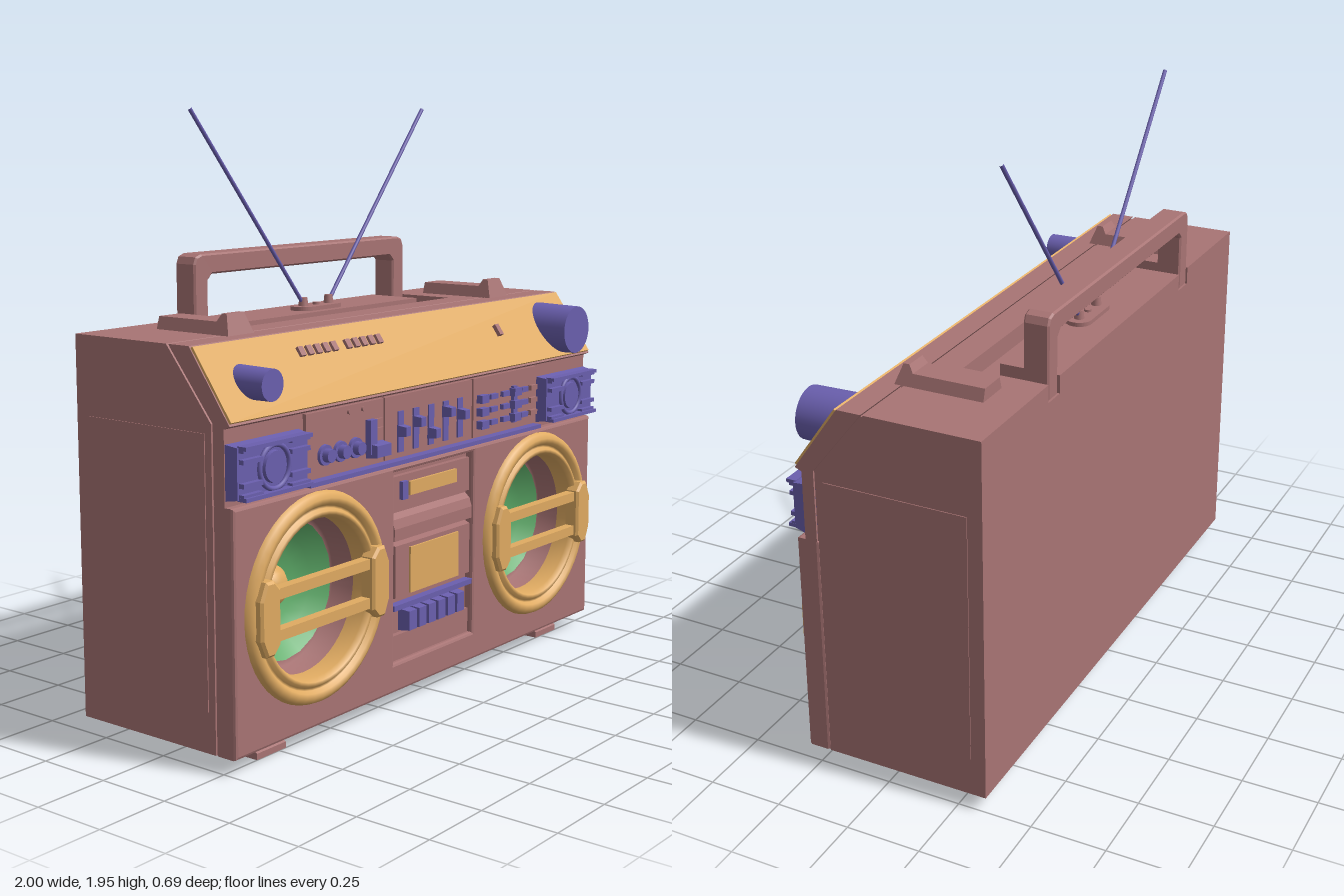
import * as THREE from 'three';

const mat = (color, side = THREE.FrontSide) => new THREE.MeshStandardMaterial({ color, side });
const MAUVE = mat(0xa87474), TAN = mat(0xe0ab62), PURPLE = mat(0x6a5fae);
const MAUVE2 = mat(0xa87474, THREE.DoubleSide), TAN2 = mat(0xe0ab62, THREE.DoubleSide), GREEN2 = mat(0x5fae6a, THREE.DoubleSide);

const poly = pts => new THREE.Shape(pts.map(p => new THREE.Vector2(p[0], p[1])));
const rect = (x0, y0, x1, y1) => poly([[x0, y0], [x1, y0], [x1, y1], [x0, y1]]);

function add(parent, name, geo, material) {
  const m = new THREE.Mesh(geo, material);
  m.name = name;
  parent.add(m);
  return m;
}
// box from centre, size and z range
function box(parent, name, x, y, w, h, z0, z1, material) {
  return add(parent, name, new THREE.BoxGeometry(w, h, z1 - z0).translate(x, y, (z0 + z1) / 2), material);
}
// box whose front face is smaller than its back
function taperBox(parent, name, x, y, w, h, z0, z1, inset, material) {
  const shape = rect(x - w / 2, y - h / 2, x + w / 2, y + h / 2);
  const g = new THREE.ExtrudeGeometry(shape, {
    depth: 0.001, bevelThickness: z1 - z0, bevelSize: inset, bevelOffset: -inset, bevelSegments: 1 });
  return add(parent, name, g.translate(0, 0, z0), material);
}
// cylinder pointing forward
function knob(parent, name, x, y, r, z0, z1, material, sides = 32) {
  const g = new THREE.CylinderGeometry(r * 0.95, r, z1 - z0, sides).rotateX(Math.PI / 2);
  return add(parent, name, g.translate(x, y, (z0 + z1) / 2), material);
}
// side profile of [z, y] points swept across x
function sweepX(parent, name, pts, w, x, material) {
  const g = new THREE.ExtrudeGeometry(poly(pts), { depth: w, bevelEnabled: false });
  return add(parent, name, g.rotateY(-Math.PI / 2).translate(x + w / 2, 0, 0), material);
}
// profile of [radius, z] points turned around a forward axis
function turn(parent, name, pts, material, seg = 48) {
  const g = new THREE.LatheGeometry(pts.map(p => new THREE.Vector2(p[0], p[1])), seg);
  return add(parent, name, g.rotateX(Math.PI / 2), material);
}

const SX = 0.62, SY = 0.465;

function buildCase(g) {
  const W = 1.994;
  sweepX(g, 'rearShell', [[-0.344, 0.05], [0.06, 0.05], [0.06, 0.81], [0.216, 0.81], [0.216, 1.05],
    [0.041, 1.27], [0.03, 1.27], [0.03, 1.21], [-0.344, 1.21]], W, 0, MAUVE);
  sweepX(g, 'seamFiller', [[0.2, 0.81], [0.23, 0.81], [0.23, 1.05], [0.055, 1.262], [0.03, 1.262], [0.2, 1.04]], 1.98, 0, MAUVE);
  sweepX(g, 'upperFront', [[0.224, 0.81], [0.265, 0.81], [0.265, 1.04], [0.288, 1.05], [0.132, 1.27],
    [0.05, 1.27], [0.224, 1.05]], W, 0, MAUVE);

  // top with a U-shaped channel for the folding handle
  const top = poly([[-0.997, 0.344], [-0.565, 0.344], [-0.565, 0.055], [0.565, 0.055], [0.565, 0.344],
    [0.997, 0.344], [0.997, -0.03], [-0.997, -0.03]]);
  add(g, 'topDeck', new THREE.ExtrudeGeometry(top, { depth: 0.06, bevelEnabled: false })
    .rotateX(-Math.PI / 2).translate(0, 1.21, 0), MAUVE);
  box(g, 'topIsland', 0, 1.24, 0.97, 0.06, -0.344, -0.14, MAUVE);

  // lower front with speaker and cassette openings
  const face = () => {
    const s = rect(-0.997, 0.05, 0.997, 0.81);
    for (const x of [-SX, SX]) s.holes.push(new THREE.Path().absarc(x, SY, 0.265, 0, Math.PI * 2, true));
    s.holes.push(new THREE.Path(rect(-0.225, 0.15, 0.225, 0.79).getPoints().reverse()));
    return s;
  };
  const opt = { bevelEnabled: false, curveSegments: 32 };
  add(g, 'lowerCase', new THREE.ExtrudeGeometry(face(), { ...opt, depth: 0.157 }).translate(0, 0, 0.06), MAUVE);
  add(g, 'lowerFront', new THREE.ExtrudeGeometry(face(), { curveSegments: 32, depth: 0.06,
    bevelThickness: 0.01, bevelSize: 0.01, bevelOffset: -0.01, bevelSegments: 2 }).translate(0, 0, 0.227), MAUVE);

  for (const s of [-1, 1]) {
    add(g, 'sidePanel', new THREE.BoxGeometry(0.006, 0.84, 0.485).translate(s * 0.997, 0.6, -0.052), MAUVE);
    sweepX(g, 'foot', [[0.25, 0], [0.25, 0.02], [0.2, 0.05], [-0.185, 0.05], [-0.235, 0.02], [-0.235, 0]], 0.134, s * 0.785, MAUVE);
    // strap lug, narrowing towards the top
    const lug = sweepX(g, 'strapLug', [[0.075, 1.265], [0.05, 1.335], [0.03, 1.335], [0.015, 1.31], [-0.228, 1.31], [-0.228, 1.265]], 0.12, 0, MAUVE);
    const p = lug.geometry.attributes.position;
    for (let i = 0; i < p.count; i++) p.setX(i, p.getX(i) * (1 - (p.getY(i) - 1.265) * 5) + s * 0.705);
    lug.geometry.computeVertexNormals();
  }
}

function buildHandle(g) {
  const s = poly([[-0.56, 1.21], [-0.495, 1.21], [-0.495, 1.4], [-0.475, 1.42], [0.475, 1.42], [0.495, 1.4], [0.495, 1.21],
    [0.56, 1.21], [0.56, 1.455], [0.55, 1.478], [0.525, 1.487], [-0.525, 1.487], [-0.55, 1.478], [-0.56, 1.455]]);
  add(g, 'handle', new THREE.ExtrudeGeometry(s, { depth: 0.074, bevelThickness: 0.006, bevelSize: 0.006,
    bevelOffset: -0.006, bevelSegments: 1 }).translate(0, 0, -0.336), MAUVE);
}

function buildAntennas(g) {
  const pill = new THREE.Shape().absarc(0.068, 0, 0.044, -Math.PI / 2, Math.PI / 2)
    .absarc(-0.068, 0, 0.044, Math.PI / 2, Math.PI * 1.5);
  add(g, 'antennaBase', new THREE.ExtrudeGeometry(pill, { depth: 0.014, bevelEnabled: false })
    .rotateX(-Math.PI / 2).translate(0, 1.27, -0.215), MAUVE);
  add(g, 'baseScrew', new THREE.CylinderGeometry(0.012, 0.012, 0.012, 16).translate(0, 1.286, -0.215), MAUVE);
  for (const s of [-1, 1]) {
    add(g, 'antennaPivot', new THREE.CylinderGeometry(0.014, 0.018, 0.035, 16).translate(s * 0.068, 1.295, -0.215), MAUVE);
    const path = new THREE.LineCurve3(new THREE.Vector3(s * 0.068, 1.29, -0.215), new THREE.Vector3(s * 0.615, 1.95, -0.215));
    add(g, 'antenna', new THREE.TubeGeometry(path, 1, 0.007, 10), PURPLE);
  }
}

function buildSpeaker(x) {
  const g = new THREE.Group();
  g.name = 'speaker';
  turn(g, 'speakerRing', [[0.25, 0.24], [0.25, 0.3], [0.26, 0.318], [0.272, 0.318], [0.28, 0.306], [0.288, 0.306],
    [0.296, 0.32], [0.312, 0.322], [0.328, 0.312], [0.335, 0.295]], TAN2);
  turn(g, 'speakerCup', [[0.258, 0.29], [0.245, 0.16], [0.215, 0.16]], MAUVE2);
  turn(g, 'speakerCone', [[0.225, 0.168], [0.17, 0.125], [0.12, 0.1], [0.07, 0.09]], GREEN2, 20);
  turn(g, 'dustCap', [[0.076, 0.09], [0.07, 0.115], [0.05, 0.138], [0.025, 0.149], [0, 0.152]], TAN2, 32);
  for (const s of [-1, 1]) {
    box(g, 'guardBar', 0, s * 0.064, 0.5, 0.034, 0.295, 0.33, TAN);
    const block = poly([[0.222, -0.085], [0.25, -0.115], [0.285, -0.115], [0.31, -0.06], [0.31, 0.06], [0.285, 0.115], [0.25, 0.115], [0.222, 0.085]]
      .map(p => [p[0] * s, p[1]]));
    add(g, 'guardBlock', new THREE.ExtrudeGeometry(block, { depth: 0.04, bevelThickness: 0.008, bevelSize: 0.008,
      bevelOffset: -0.008, bevelSegments: 1 }).translate(0, 0, 0.298), TAN);
  }
  g.position.set(x, SY, 0);
  return g;
}

function buildCassette(g) {
  box(g, 'deckFloor', 0, 0.47, 0.45, 0.64, 0.2, 0.265, MAUVE);
  box(g, 'displayPlate', 0, 0.715, 0.43, 0.115, 0.26, 0.285, MAUVE);
  box(g, 'displayWindow', -0.003, 0.724, 0.265, 0.046, 0.28, 0.294, TAN);
  box(g, 'displayButton', -0.168, 0.724, 0.03, 0.06, 0.28, 0.3, PURPLE);
  sweepX(g, 'doorLip', [[0.26, 0.56], [0.294, 0.56], [0.294, 0.6], [0.285, 0.63], [0.26, 0.65]], 0.44, 0, MAUVE);
  taperBox(g, 'cassetteDoor', 0, 0.455, 0.44, 0.19, 0.26, 0.29, 0.008, MAUVE);
  box(g, 'cassetteWindow', 0, 0.45, 0.275, 0.155, 0.28, 0.298, TAN);
  box(g, 'keyRail', 0, 0.335, 0.445, 0.018, 0.26, 0.296, PURPLE);
  for (let i = 0; i < 6; i++) taperBox(g, 'tapeKey', -0.1375 + i * 0.055, 0.282, 0.051, 0.075, 0.26, 0.308, 0.005, PURPLE);
  box(g, 'lowerPlate', 0, 0.196, 0.43, 0.085, 0.26, 0.284, MAUVE);
}

function buildTuner(g) {
  // sloping dial panel
  const dial = new THREE.Group();
  dial.name = 'dialPanel';
  dial.position.set(0, 1.16, 0.21);
  dial.rotation.x = -Math.atan2(0.156, 0.22);
  const flat = y => (y - 1.16) / Math.cos(dial.rotation.x);
  box(dial, 'dialFace', 0, 0, 1.985, 0.255, -0.01, 0.008, TAN);
  for (let i = 0; i < 5; i++) for (const x of [-0.56, -0.33])
    box(dial, 'indicator', x + i * 0.04, flat(1.205), 0.024, 0.032, 0, 0.018, MAUVE);
  box(dial, 'indicator', 0.49, flat(1.17), 0.022, 0.042, 0, 0.022, MAUVE);
  g.add(dial);
  knob(g, 'tuningKnob', 0.835, 1.155, 0.09, 0.13, 0.33, PURPLE, 40);
  knob(g, 'volumeKnob', -0.845, 1.155, 0.051, 0.15, 0.32, PURPLE);
}

function buildControls(g) {
  box(g, 'controlRail', 0, 0.82, 1.3, 0.014, 0.26, 0.3, PURPLE);
  for (const [x, w] of [[-0.453, 0.385], [-0.007, 0.49], [0.448, 0.4]]) box(g, 'controlPanel', x, 0.935, w, 0.205, 0.26, 0.278, MAUVE);

  // left panel: rotary knobs, selector and lamps
  for (const x of [-0.56, -0.485, -0.41]) {
    knob(g, 'toneDial', x, 0.9, 0.034, 0.27, 0.288, PURPLE, 24);
    knob(g, 'toneKnob', x, 0.9, 0.022, 0.28, 0.31, PURPLE, 24);
  }
  box(g, 'selectorSlot', -0.337, 0.925, 0.035, 0.11, 0.27, 0.3, PURPLE);
  taperBox(g, 'selectorLever', -0.31, 0.88, 0.085, 0.05, 0.27, 0.32, 0.006, PURPLE);
  for (const x of [-0.44, -0.37]) knob(g, 'lamp', x, 1.018, 0.008, 0.27, 0.286, MAUVE, 12);
  for (const y of [0.97, 0.94]) box(g, 'selectorMark', -0.29, y, 0.04, 0.014, 0.27, 0.286, MAUVE);

  // middle panel: sliders
  [0.92, 0.94, 0.89, 0.95, 0.93].forEach((y, i) => {
    const x = -0.172 + i * 0.084;
    box(g, 'sliderSlot', x, 0.917, 0.03, 0.135, 0.27, 0.283, PURPLE);
    taperBox(g, 'sliderKnob', x, y, 0.036, 0.04, 0.27, 0.312, 0.005, PURPLE);
  });

  // right panel: switches in three rows
  for (const y of [0.965, 0.92, 0.875]) {
    for (const x of [0.29, 0.495]) box(g, 'switch', x, y, 0.044, 0.028, 0.27, 0.302, PURPLE);
    for (const x of [0.36, 0.435, 0.555, 0.615]) box(g, 'pushButton', x, y, 0.042, 0.018, 0.27, 0.292, x > 0.6 ? MAUVE : PURPLE);
  }
  box(g, 'switchSlot', 0.495, 0.92, 0.024, 0.13, 0.27, 0.29, PURPLE);
}

function buildTweeter(s) {
  const g = new THREE.Group();
  g.name = 'tweeter';
  taperBox(g, 'tweeterHousing', 0, 0, 0.33, 0.17, 0.255, 0.305, 0.008, PURPLE);
  for (const y of [-0.068, -0.035, 0.035, 0.068]) for (const t of [-1, 1])
    box(g, 'tweeterSlat', t * 0.107, y, 0.085, 0.014, 0.3, 0.325, PURPLE);
  add(g, 'tweeterRing', new THREE.TorusGeometry(0.066, 0.008, 10, 40).translate(0, 0, 0.312), PURPLE);
  knob(g, 'tweeterDome', 0, 0, 0.05, 0.3, 0.318, PURPLE);
  for (const y of [-0.075, 0.075]) box(g, 'tweeterRim', 0, y, 0.3, 0.012, 0.3, 0.334, PURPLE);
  g.position.set(s * 0.83, 0.912, 0);
  return g;
}

export function createModel() {
  const g = new THREE.Group();
  g.name = 'portableStereo';
  for (const build of [buildCase, buildHandle, buildAntennas, buildCassette, buildTuner, buildControls]) build(g);
  for (const s of [-1, 1]) g.add(buildSpeaker(s * SX), buildTweeter(s));
  return g;
}
